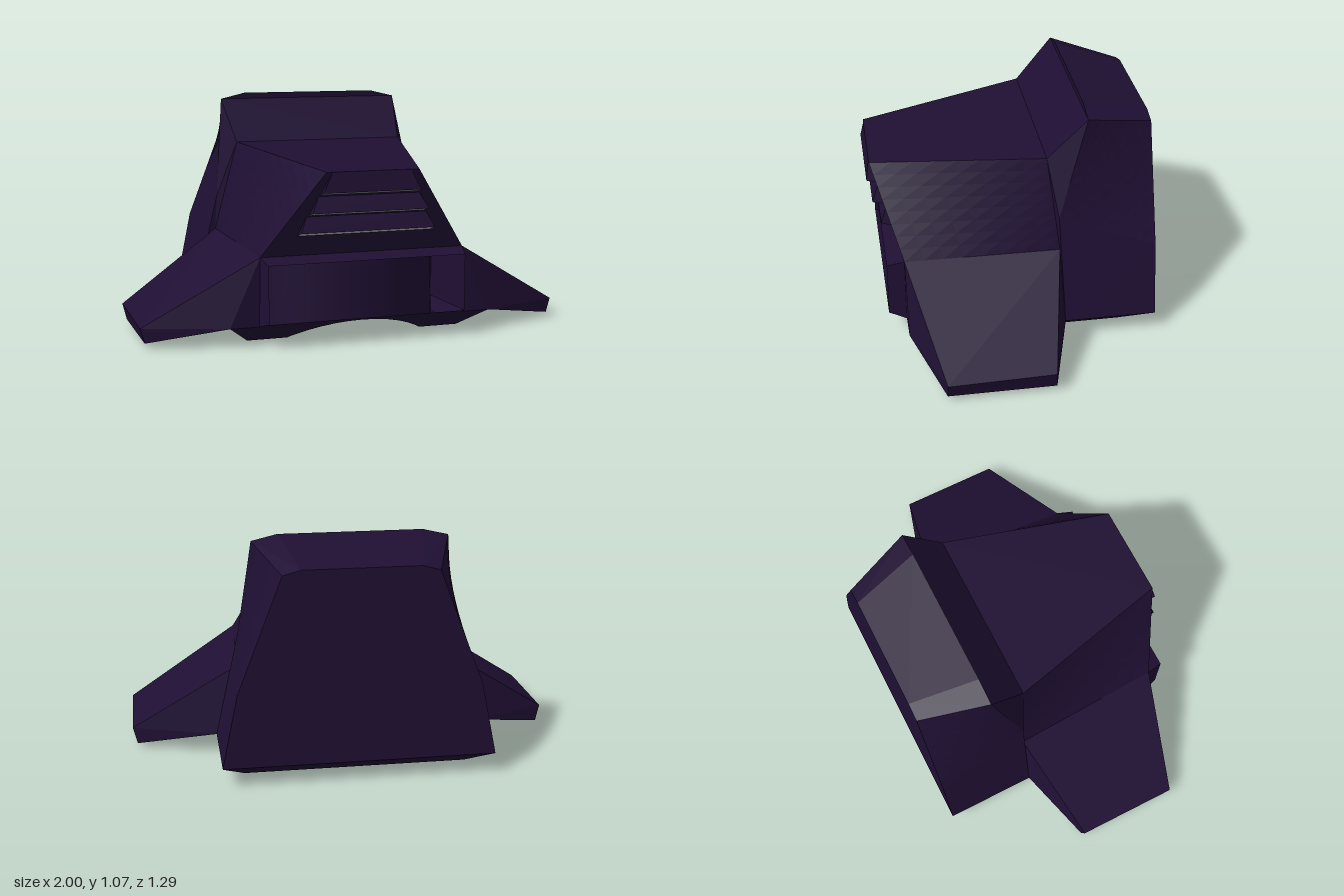
import * as THREE from 'three';

const look = { color: 0x1f0f33, side: THREE.DoubleSide };
const purple = new THREE.MeshStandardMaterial({ ...look, flatShading: true });
const smoothPurple = new THREE.MeshStandardMaterial(look);
const grey = new THREE.MeshStandardMaterial({ color: 0xcccccc, flatShading: true, side: THREE.DoubleSide });
const V = (x, y, z) => new THREE.Vector3(x, y, z);
const flip = p => V(-p.x, p.y, p.z);
const mirrored = faces => [...faces, ...faces.map(f => f.map(flip))];
// A face spanning the centre line, from its +x corners
const across = (a, b) => [a, b, flip(b), flip(a)];

// Twisted four-cornered panel cut into small quads
function patch(a, b, c, d, n = 8) {
  const at = (u, v) => a.clone().lerp(b, u / n).lerp(d.clone().lerp(c, u / n), v / n);
  const quads = [];
  for (let u = 0; u < n; u++) {
    for (let v = 0; v < n; v++) quads.push([at(u, v), at(u + 1, v), at(u + 1, v + 1), at(u, v + 1)]);
  }
  return quads;
}

// Convex polygons fanned into triangles that face away from a centre point
function faceted(name, faces, material = purple, centre = V(0, 0.35, 0)) {
  const pts = [];
  for (const f of faces) {
    for (let i = 1; i < f.length - 1; i++) {
      const t = new THREE.Triangle(f[0], f[i], f[i + 1]);
      const out = t.getNormal(V()).dot(t.getMidpoint(V()).sub(centre)) >= 0;
      pts.push(...(out ? [t.a, t.b, t.c] : [t.a, t.c, t.b]));
    }
  }
  const g = new THREE.BufferGeometry().setFromPoints(pts);
  g.computeVertexNormals();
  const m = new THREE.Mesh(g, material);
  m.name = name;
  return m;
}

// Ankle socket circle, and the height of the underside along z
const R = 0.495, ZC = 0.005, Z0 = 0.38, Z1 = 0.505;
const underY = z => Math.max(0, (z - Z0) / (Z1 - Z0) * 0.09);
const cut = Math.asin((Z0 - ZC) / R);

// Flat outline in x and z, laid on the underside
function underPlate(name, corners, from, to) {
  const pts = corners.map(c => new THREE.Vector2(...c));
  for (let i = 0; i <= 32; i++) {
    const a = from + (to - from) * i / 32;
    pts.push(new THREE.Vector2(R * Math.cos(a), ZC + R * Math.sin(a)));
  }
  const g = new THREE.ShapeGeometry(new THREE.Shape(pts));
  const p = g.attributes.position;
  for (let i = 0; i < p.count; i++) p.setXYZ(i, p.getX(i), underY(p.getY(i)), p.getY(i));
  g.computeVertexNormals();
  const m = new THREE.Mesh(g, purple);
  m.name = name;
  return m;
}

export function createModel() {
  const group = new THREE.Group();

  // Shared corners on the +x side
  const topBack = V(0.415, 0.845, -0.155), topFront = V(0.215, 0.78, 0.63);
  const rootFront = V(0.48, 0.4, 0.505), rootBack = V(0.515, 0.42, -0.205);
  const lowFront = V(0.618, 0.09, 0.505), lowMid = V(0.618, 0.09, -0.22), lowBack = V(0.618, 0.09, -0.645);
  const baseFront = V(0.51, 0, Z0), baseBack = V(0.51, 0, -0.49);

  // Sloping upper body
  group.add(faceted('upperBody', [
    across(topBack, topFront), across(topFront, rootFront),
    ...mirrored(patch(topBack, topFront, rootFront, rootBack)),
  ]));

  // Tall heel block, narrowing to the back
  const kneeF = V(0.507, 0.58, -0.2), kneeB = V(0.548, 0.43, -0.645);
  const peakF = V(0.449, 1.042, -0.33), peakB = V(0.345, 0.96, -0.645);
  const crownF = V(0.33, 1.07, -0.33), crownB = V(0.265, 0.982, -0.645);
  group.add(faceted('heelBlock', [
    across(crownF, crownB), across(topBack, peakF), across(peakF, crownF),
    across(lowBack, kneeB), across(kneeB, peakB), across(peakB, crownB),
    ...mirrored([
      [lowMid, lowBack, kneeB, kneeF], ...patch(kneeF, kneeB, peakB, peakF),
      [peakF, peakB, crownB, crownF], [topBack, kneeF, peakF],
      [topBack, kneeF, rootBack], [rootBack, kneeF, lowMid],
    ]),
  ]));

  // Side fins, the left a little longer
  const fin = tip => {
    const finBack = V(tip, 0.1, -0.105), finFront = V(tip, 0.09, 0.375);
    const tipBack = V(tip - 0.02, 0.022, -0.11), tipFront = V(tip - 0.02, 0.022, 0.375);
    return [
      [rootBack, finBack, finFront, rootFront], [finBack, finFront, tipFront, tipBack],
      [rootFront, finFront, lowFront], [lowFront, finFront, tipFront],
      [rootBack, finBack, lowMid], [lowMid, finBack, tipBack],
      [tipBack, tipFront, lowFront, lowMid],
    ];
  };
  group.add(faceted('leftFin', fin(1.008), purple, V(0.65, 0.16, 0.13)));
  group.add(faceted('rightFin', fin(0.992).map(f => f.map(flip)), purple, V(-0.65, 0.16, 0.13)));

  // Bevelled base and underside, notched by the socket
  group.add(faceted('baseBevel', [
    across(lowBack, baseBack), ...mirrored([[lowFront, lowBack, baseBack, baseFront]]),
  ]));
  group.add(underPlate('sole', [[-0.51, Z0], [-0.51, -0.49], [0.51, -0.49], [0.51, Z0]], cut, -Math.PI - cut));
  group.add(underPlate('toeBevel', [[-0.51, Z0], [-0.618, Z1], [0.618, Z1], [0.51, Z0]], cut, Math.PI - cut));

  // Round socket wall, trimmed to the underside, with its ceiling
  const wall = new THREE.CylinderGeometry(R, R, 0.4, 48, 1, true).translate(0, 0.2, ZC);
  const p = wall.attributes.position;
  for (let i = 0; i < p.count; i++) if (p.getY(i) < 0.01) p.setY(i, underY(p.getZ(i)));
  const socket = new THREE.Mesh(wall, smoothPurple);
  socket.name = 'socketWall';
  group.add(socket);
  group.add(faceted('socketCeiling', [across(V(0.478, 0.395, 0.505), V(0.505, 0.395, -0.49))]));

  // Open toe frame around the socket wall, with the cheeks beside it
  const rim = [V(0.462, 0.375, 0.585), V(0.462, 0.115, 0.585)];
  const seat = [rootFront, V(0.485, 0.09, 0.505)];
  group.add(faceted('toeFrame', [
    across(rim[0], seat[0]), across(rim[1], seat[1]),
    ...mirrored([
      [rim[0], rim[1], seat[1], seat[0]], [seat[0], seat[1], lowFront],
      [rim[0], rim[1], V(0.462, 0.1, 0.18), V(0.462, 0.39, 0.18)],
    ]),
  ]));

  // Louvred vent with pale undersides
  const vent = new THREE.Group();
  vent.name = 'vent';
  vent.position.x = -0.005;
  const half = y => 0.182 + (0.78 - y) * 0.49;
  const edge = (y, z) => V(half(y), y, z);
  [[0.78, 0.63, 0.69, 0.645, 0.677, 0.588],
    [0.68, 0.59, 0.6, 0.625, 0.585, 0.56],
    [0.59, 0.56, 0.51, 0.592, 0.49, 0.53]].forEach(([y0, z0, y1, z1, y2, z2], i) => {
    const a = edge(y0, z0), b = edge(y1, z1), c = V(half(y1), y2, z2);
    const inside = V(0, (y0 + y2) / 2, z0 - 0.01);
    vent.add(faceted('ventSlat' + (i + 1), [across(a, b), ...mirrored([[a, b, c]])], purple, inside));
    vent.add(faceted('ventLight' + (i + 1), [across(b, c)], grey, inside));
  });
  group.add(vent);

  // The body sits slightly to the right of the fin span
  group.children.forEach(part => { part.position.x -= 0.008; });
  return group;
}
